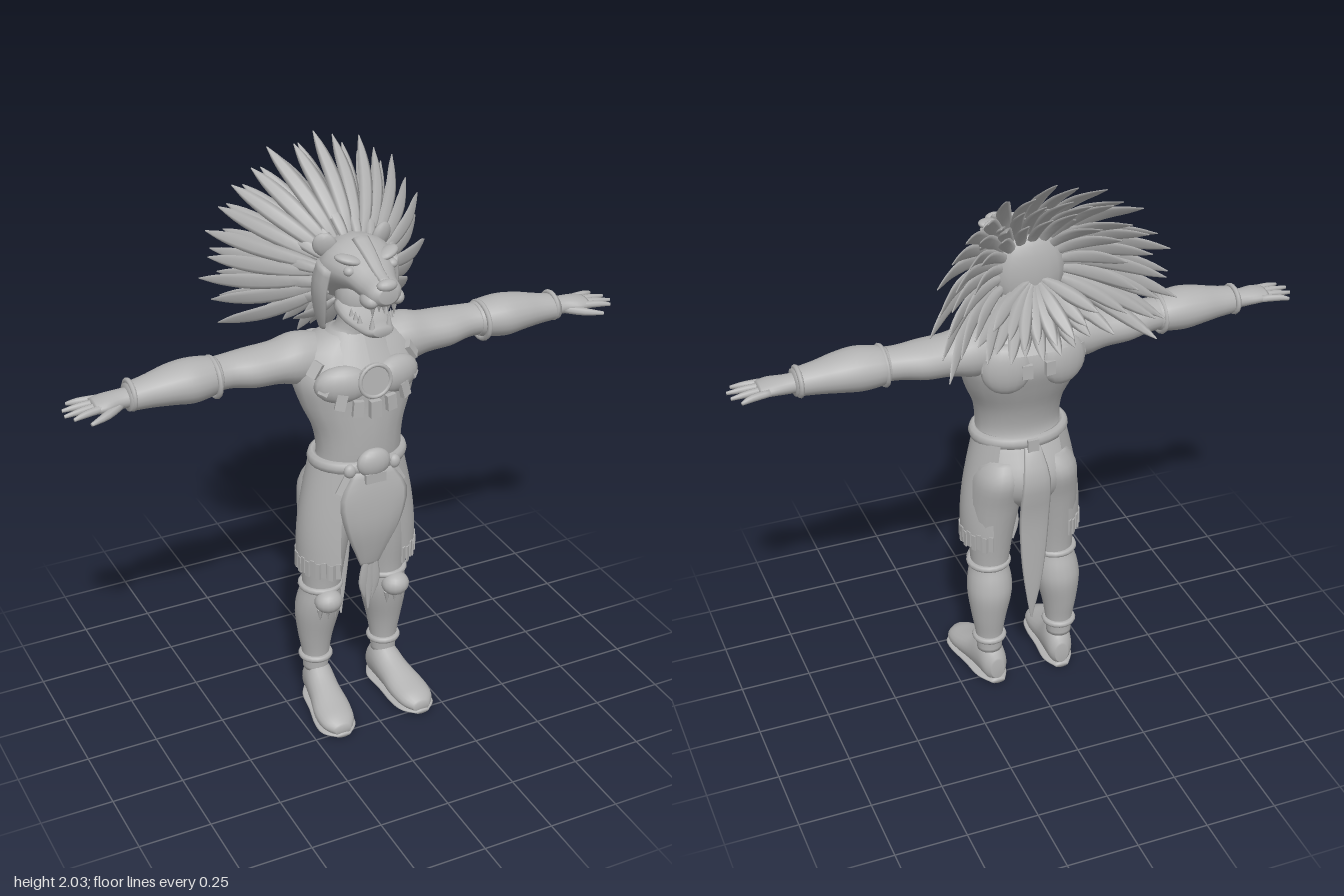
import * as THREE from 'three';

const grey = new THREE.MeshStandardMaterial({ color: 0xb2b2b2, side: THREE.DoubleSide });
grey.name = 'stone grey';
const V = (x, y, z) => new THREE.Vector3(x, y, z);
const rad = THREE.MathUtils.degToRad;

// Catmull-Rom refinement of rows of numbers
function refine(rows, n = 4) {
  const out = [], at = i => rows[Math.max(0, Math.min(rows.length - 1, i))];
  for (let i = 0; i < rows.length - 1; i++) for (let k = 0; k < n; k++) {
    const t = k / n;
    out.push(rows[i].map((b, c) => {
      const a = at(i - 1)[c], d = at(i + 1)[c], e = at(i + 2)[c];
      return b + 0.5 * t * (d - a + t * (2 * a - 5 * b + 4 * d - e + t * (3 * (b - d) + e - a)));
    }));
  }
  out.push(rows[rows.length - 1]);
  return out;
}

// Closed skin over rings {c, u, v}; u x v points along the loft
function loft(rings, seg = 20) {
  const pos = [], idx = [], n = rings.length;
  for (const { c, u, v } of rings) for (let j = 0; j < seg; j++) {
    const t = j / seg * Math.PI * 2;
    pos.push(...c.clone().addScaledVector(u, Math.cos(t)).addScaledVector(v, Math.sin(t)).toArray());
  }
  pos.push(...rings[0].c.toArray(), ...rings[n - 1].c.toArray());
  for (let j = 0; j < seg; j++) {
    const k = (j + 1) % seg;
    for (let i = 0; i < n - 1; i++) {
      const a = i * seg + j, b = i * seg + k;
      idx.push(a, b, b + seg, a, b + seg, a + seg);
    }
    idx.push(n * seg, k, j, n * seg + 1, (n - 1) * seg + j, (n - 1) * seg + k);
  }
  return finish(pos, idx);
}
function finish(pos, idx) {
  const g = new THREE.BufferGeometry();
  g.setAttribute('position', new THREE.Float32BufferAttribute(pos, 3));
  g.setIndex(idx);
  g.computeVertexNormals();
  return g;
}
// Lofts along each axis: rows are position, two centre offsets, two radii
const loftY = rows => loft(refine(rows).map(([y, x, z, rx, rz]) => ({ c: V(x, y, z), u: V(0, 0, rz), v: V(rx, 0, 0) })));
const loftX = rows => loft(refine(rows).map(([x, y, z, ry, rz]) => ({ c: V(x, y, z), u: V(0, ry, 0), v: V(0, 0, rz) })));
const loftZ = rows => loft(refine(rows).map(([z, x, y, rx, ry]) => ({ c: V(x, y, z), u: V(rx, 0, 0), v: V(0, ry, 0) })));

// Flat or round strip along points; rows are x, y, z, half width, half thickness
function strip(rows, side, seg = 8, n = 3) {
  const r = refine(rows, n), p = r.map(q => V(q[0], q[1], q[2]));
  return loft(r.map((q, i) => {
    const t = p[Math.min(i + 1, p.length - 1)].clone().sub(p[Math.max(i - 1, 0)]).normalize();
    const u = side.clone().addScaledVector(t, -side.dot(t)).normalize();
    return { c: p[i], u: u.clone().multiplyScalar(q[3]), v: t.cross(u).multiplyScalar(q[4]) };
  }), seg);
}
// Open grid surface
function sheet(f, nu, nv) {
  const pos = [], idx = [];
  for (let i = 0; i <= nv; i++) for (let j = 0; j <= nu; j++) pos.push(...f(j / nu, i / nv));
  for (let i = 0; i < nv; i++) for (let j = 0; j < nu; j++) {
    const a = i * (nu + 1) + j, b = a + nu + 1;
    idx.push(a, b, b + 1, a, b + 1, a + 1);
  }
  return finish(pos, idx);
}
const place = (g, x, y, z, rx = 0, ry = 0, rz = 0) => g.rotateX(rx).rotateY(ry).rotateZ(rz).translate(x, y, z);
const box = (w, h, d) => new THREE.BoxGeometry(w, h, d);
const ball = (rx, ry, rz) => new THREE.SphereGeometry(1, 16, 12).scale(rx, ry, rz);

export function createModel() {
  const model = new THREE.Group();
  const add = (name, g) => {
    const m = new THREE.Mesh(g, grey);
    m.name = name;
    model.add(m);
  };
  // Adds a part on the left and its mirror image on the right
  const pair = (name, g) => {
    add(name + 'Left', g);
    const r = g.clone().scale(-1, 1, 1), ix = r.index.array;
    for (let i = 0; i < ix.length; i += 3) [ix[i], ix[i + 1]] = [ix[i + 1], ix[i]];
    add(name + 'Right', r);
  };

  // Torso and neck
  add('torso', loftY([[0.74, 0, 0.03, 0.1, 0.08], [0.8, 0, 0.02, 0.165, 0.12], [0.88, 0, 0.025, 0.18, 0.14],
    [0.97, 0, 0.05, 0.165, 0.12], [1.03, 0, 0.07, 0.15, 0.11], [1.12, 0, 0.065, 0.16, 0.12], [1.22, 0, 0.045, 0.2, 0.14],
    [1.31, 0, 0.03, 0.22, 0.155], [1.39, 0, 0.015, 0.2, 0.125], [1.44, 0, 0.025, 0.13, 0.085], [1.475, 0, 0.05, 0.07, 0.06], [1.58, 0, 0.06, 0.06, 0.06]]));
  pair('chestMuscle', place(ball(0.095, 0.065, 0.045), 0.095, 1.31, 0.145, 0, 0.25));
  pair('shoulderBlade', place(ball(0.085, 0.09, 0.04), 0.1, 1.32, -0.09, 0, -0.2));

  // Arms, forearm guards and hands
  pair('upperArm', loftX([[0.1, 1.365, 0, 0.07, 0.08], [0.19, 1.365, 0, 0.088, 0.09], [0.27, 1.365, 0, 0.07, 0.083],
    [0.36, 1.365, 0, 0.064, 0.082], [0.44, 1.37, 0, 0.055, 0.066], [0.52, 1.37, 0.01, 0.055, 0.065]]));
  pair('forearmGuard', loftX([[0.47, 1.37, 0.005, 0.054, 0.062], [0.5, 1.37, 0.005, 0.064, 0.074], [0.57, 1.37, 0.01, 0.072, 0.083],
    [0.64, 1.37, 0.01, 0.064, 0.076], [0.71, 1.365, 0.012, 0.053, 0.06], [0.785, 1.36, 0.015, 0.044, 0.05]]));
  for (const [x, r] of [[0.49, 0.063], [0.77, 0.045]])
    pair('guardRim', place(new THREE.TorusGeometry(r, 0.009, 8, 20).scale(1.12, 1, 1), x, 1.365, 0.01, 0, Math.PI / 2));
  pair('hand', loftX([[0.76, 1.36, 0.015, 0.032, 0.038], [0.81, 1.36, 0.015, 0.03, 0.04], [0.86, 1.36, 0.02, 0.026, 0.05], [0.9, 1.357, 0.02, 0.02, 0.045]]));
  for (const [z, dz, tip] of [[-0.02, -0.022, 0.965], [0.006, -0.006, 0.99], [0.03, 0.01, 0.995], [0.052, 0.022, 0.975]])
    pair('finger', strip([[0.87, 1.36, z, 0.013, 0.013], [0.93, 1.358, z + dz / 2, 0.012, 0.012], [tip, 1.352, z + dz, 0.005, 0.006]], V(0, 0, 1)));
  pair('thumb', strip([[0.81, 1.352, 0.035, 0.018, 0.015], [0.87, 1.346, 0.078, 0.015, 0.014], [0.93, 1.34, 0.105, 0.006, 0.006]], V(0, 0, 1)));

  // Legs, shin guards and shoes
  pair('thigh', loftY([[0.42, 0.125, 0.03, 0.06, 0.065], [0.52, 0.12, 0.03, 0.07, 0.07], [0.64, 0.115, 0.03, 0.082, 0.088],
    [0.76, 0.105, 0.025, 0.093, 0.105], [0.87, 0.095, 0.01, 0.09, 0.115], [0.94, 0.08, 0.02, 0.07, 0.09]]));
  pair('shinGuard', loftY([[0.13, 0.135, 0.005, 0.045, 0.045], [0.2, 0.135, 0.005, 0.05, 0.048], [0.28, 0.135, 0.005, 0.063, 0.062],
    [0.37, 0.13, 0.01, 0.079, 0.08], [0.43, 0.127, 0.02, 0.078, 0.082], [0.48, 0.125, 0.03, 0.068, 0.075], [0.5, 0.125, 0.03, 0.066, 0.07]]));
  pair('ankleBand', place(new THREE.TorusGeometry(0.05, 0.012, 8, 20), 0.135, 0.185, 0.005, Math.PI / 2));
  pair('kneeBand', place(new THREE.TorusGeometry(0.068, 0.012, 8, 20), 0.125, 0.495, 0.03, Math.PI / 2));
  pair('kneeGuard', place(ball(0.05, 0.042, 0.045), 0.13, 0.46, 0.105));
  for (const x of [0.1, 0.13, 0.16]) pair('kneeTooth', place(new THREE.ConeGeometry(0.012, 0.05, 6), x, 0.405, 0.1, Math.PI));
  pair('shoe', loftZ([[-0.055, 0.125, 0.06, 0.025, 0.04], [-0.03, 0.128, 0.07, 0.045, 0.068], [0.02, 0.132, 0.08, 0.053, 0.08],
    [0.09, 0.14, 0.062, 0.058, 0.06], [0.17, 0.15, 0.046, 0.068, 0.044], [0.235, 0.155, 0.036, 0.06, 0.034], [0.275, 0.155, 0.028, 0.03, 0.02]]));
  pair('sole', loftZ([[-0.058, 0.125, 0.01, 0.025, 0.01], [0, 0.13, 0.01, 0.056, 0.01], [0.09, 0.14, 0.01, 0.062, 0.01],
    [0.18, 0.15, 0.01, 0.072, 0.01], [0.24, 0.155, 0.01, 0.064, 0.01], [0.28, 0.155, 0.01, 0.025, 0.008]]));

  // Side skirts with fringe
  const skirt = (a, v) => [(0.165 + 0.052 * Math.sin(v * 1.7)) * Math.sin(a), 1.0 - v * 0.36, 0.05 + (0.13 + 0.02 * v) * Math.cos(a)];
  pair('sideSkirt', sheet((u, v) => skirt(rad(32 + u * 108), v), 18, 10));
  for (let i = 0; i < 15; i++) {
    const a = rad(35 + i * 7.3), [x, y, z] = skirt(a, 1);
    pair('fringe', place(box(0.017, 0.06, 0.007), x, y - 0.022 - 0.008 * (i % 2), z, 0, a));
  }

  // Belt, skull buckle, aprons and hanging plumes
  add('belt', place(new THREE.TorusGeometry(0.158, 0.018, 8, 32).scale(1, 0.78, 1.3), 0, 1.005, 0.06, Math.PI / 2));
  add('buckle', place(ball(0.062, 0.052, 0.03), 0, 1.02, 0.185));
  add('buckleJaw', place(box(0.075, 0.035, 0.035), 0, 0.97, 0.19));
  pair('buckleKnob', place(ball(0.022, 0.025, 0.018), 0.082, 1.0, 0.175));
  pair('beltTie', place(box(0.022, 0.08, 0.014), 0.1, 0.95, 0.165, 0, 0.4, 0.5));
  add('backKnot', place(box(0.04, 0.045, 0.02), 0, 1.0, -0.075));
  add('frontApron', strip([[0, 0.99, 0.18, 0.07, 0.012], [0, 0.9, 0.19, 0.125, 0.016], [0, 0.78, 0.187, 0.105, 0.02],
    [0, 0.67, 0.17, 0.06, 0.015], [0, 0.61, 0.16, 0.035, 0.008]], V(1, 0, 0), 12));
  for (const [s, y] of [[-1, 0.47], [0, 0.42], [1, 0.46]])
    add('apronPlume', strip([[s * 0.012, 0.64, 0.165, 0.014, 0.006], [s * 0.022, 0.54, 0.158, 0.019, 0.006], [s * 0.014, y, 0.15, 0.003, 0.003]], V(1, 0, 0)));
  add('backCloth', strip([[0, 0.99, -0.07, 0.03, 0.008], [0, 0.88, -0.115, 0.05, 0.01], [0, 0.72, -0.092, 0.055, 0.009],
    [0, 0.54, -0.083, 0.045, 0.008], [0, 0.4, -0.077, 0.027, 0.006], [0, 0.27, -0.065, 0.003, 0.003]], V(1, 0, 0), 12));

  // Collar with medallion and pendants
  add('collar', sheet((u, v) => {
    const a = u * Math.PI * 2, c = Math.cos(a), r = 0.085 + v * 0.11;
    return [r * 1.02 * Math.sin(a), 1.465 - v * (0.12 + 0.04 * c), 0.04 - 0.015 * v + (r - 0.02) * c * 0.98];
  }, 36, 6));
  add('medallion', place(new THREE.CylinderGeometry(0.058, 0.058, 0.016, 24), 0, 1.325, 0.188, Math.PI / 2 - 0.08));
  add('medallionRim', place(new THREE.TorusGeometry(0.055, 0.007, 8, 24), 0, 1.325, 0.195, -0.08));
  add('pendantMiddle', place(box(0.038, 0.06, 0.02), 0, 1.225, 0.195));
  for (const [x, y, z, r] of [[0.06, 1.235, 0.19, 0.15], [0.115, 1.265, 0.178, 0.4], [0.155, 1.315, 0.15, 0.75], [0.175, 1.365, 0.11, 0.95]])
    pair('pendant', place(box(0.035, 0.055, 0.018), x, y, z, 0, r, r * 0.6));
  for (const x of [0.04, 0.11, 0.165]) pair('backPendant', place(box(0.035, 0.05, 0.015), x, 1.31 + x * 0.2, -0.13 + x * x * 1.6, 0, -x * 3));

  // Beast head helmet with open jaws
  add('upperHead', loftZ([[-0.06, 0, 1.64, 0.07, 0.08], [-0.02, 0, 1.65, 0.11, 0.115], [0.04, 0, 1.68, 0.125, 0.1], [0.09, 0, 1.692, 0.115, 0.083],
    [0.15, 0, 1.685, 0.088, 0.064], [0.21, 0, 1.665, 0.066, 0.052], [0.26, 0, 1.658, 0.056, 0.043], [0.283, 0, 1.658, 0.032, 0.026]]));
  add('lowerJaw', loftZ([[0.05, 0, 1.55, 0.08, 0.055], [0.11, 0, 1.53, 0.078, 0.036], [0.17, 0, 1.517, 0.062, 0.026], [0.22, 0, 1.516, 0.05, 0.024], [0.248, 0, 1.522, 0.032, 0.016]]));
  add('face', place(ball(0.07, 0.09, 0.07), 0, 1.575, 0.055));
  add('nose', place(ball(0.035, 0.02, 0.022), 0, 1.69, 0.268));
  add('noseRidge', strip([[0, 1.78, 0.08, 0.03, 0.01], [0, 1.752, 0.14, 0.026, 0.012], [0, 1.712, 0.215, 0.02, 0.01], [0, 1.7, 0.26, 0.02, 0.008]], V(1, 0, 0)));
  pair('cheek', place(ball(0.028, 0.026, 0.04), 0.045, 1.635, 0.235));
  pair('brow', place(ball(0.045, 0.016, 0.03), 0.07, 1.738, 0.135, 0, 0.5, 0.25));
  pair('eye', place(ball(0.018, 0.016, 0.018), 0.076, 1.708, 0.155));
  pair('ear', place(new THREE.SphereGeometry(0.04, 12, 10).scale(1, 1.1, 0.45), 0.1, 1.755, 0.03, 0, 0.4, -0.4));
  pair('cheekFlap', strip([[0.115, 1.7, 0.06, 0.045, 0.02], [0.128, 1.62, 0.045, 0.05, 0.018], [0.12, 1.53, 0.03, 0.04, 0.014], [0.11, 1.47, 0.025, 0.02, 0.008]], V(0, 0, 1)));
  pair('upperFang', place(new THREE.ConeGeometry(0.012, 0.055, 8), 0.038, 1.6, 0.245, Math.PI));
  pair('lowerFang', place(new THREE.ConeGeometry(0.011, 0.05, 8), 0.03, 1.555, 0.228));
  for (const x of [0.009, 0.024]) pair('frontTooth', place(new THREE.ConeGeometry(0.007, 0.025, 6), x, 1.612, 0.262, Math.PI));
  for (const z of [0.14, 0.17, 0.2]) pair('sideTooth', place(new THREE.ConeGeometry(0.009, 0.03, 6), 0.055, 1.555, z - 0.01));
  add('headdressBase', place(ball(0.12, 0.14, 0.055), 0, 1.64, -0.045));

  // Curved feather from the head rim to a tip, at an angle from straight up
  const feather = (deg, r0, r1, z0, z1, w, sag = 0) => {
    const a = rad(deg), s = Math.sin(a), c = Math.cos(a);
    const row = (t, f, wd, th) => {
      const r = r0 + (r1 - r0) * t;
      return [s * r, 1.64 + c * r - sag * t * t * Math.abs(s), z0 + (z1 - z0) * f, wd, th];
    };
    return strip([row(0, 0, w * 0.35, 0.006), row(0.3, 0.16, w * 0.85, 0.007), row(0.62, 0.46, w, 0.006), row(0.85, 0.77, w * 0.7, 0.004), row(1, 1, 0.002, 0.002)], V(c, -s, 0), 6);
  };
  // Feather rows: count, first and last angle, root and tip radius, root and tip z, half width, droop
  const fans = [
    [21, -118, 118, 0.1, 0.385, 0.01, -0.25, 0.027, 0.03],
    [18, -108, 108, 0.09, 0.34, -0.03, -0.27, 0.026, 0.02],
    [15, -128, 128, 0.08, 0.27, -0.05, -0.22, 0.024, 0.02],
    [14, -140, 140, 0.1, 0.23, 0.03, -0.1, 0.02, 0],
    [9, 130, 230, 0.03, 0.27, -0.07, -0.15, 0.026, 0],
    [8, 122, 238, 0.02, 0.2, -0.09, -0.19, 0.025, 0],
  ];
  for (const [n, a0, a1, r0, r1, z0, z1, w, sag] of fans) for (let i = 0; i < n; i++) {
    const a = a0 + (a1 - a0) * i / (n - 1);
    const grow = 1 + 0.07 * Math.abs(Math.sin(rad(a))) - 0.05 * (i % 2);
    add('feather', feather(a, r0, r1 * grow, z0, z1 - 0.015 * (i % 3), w, sag));
  }
  return model;
}
